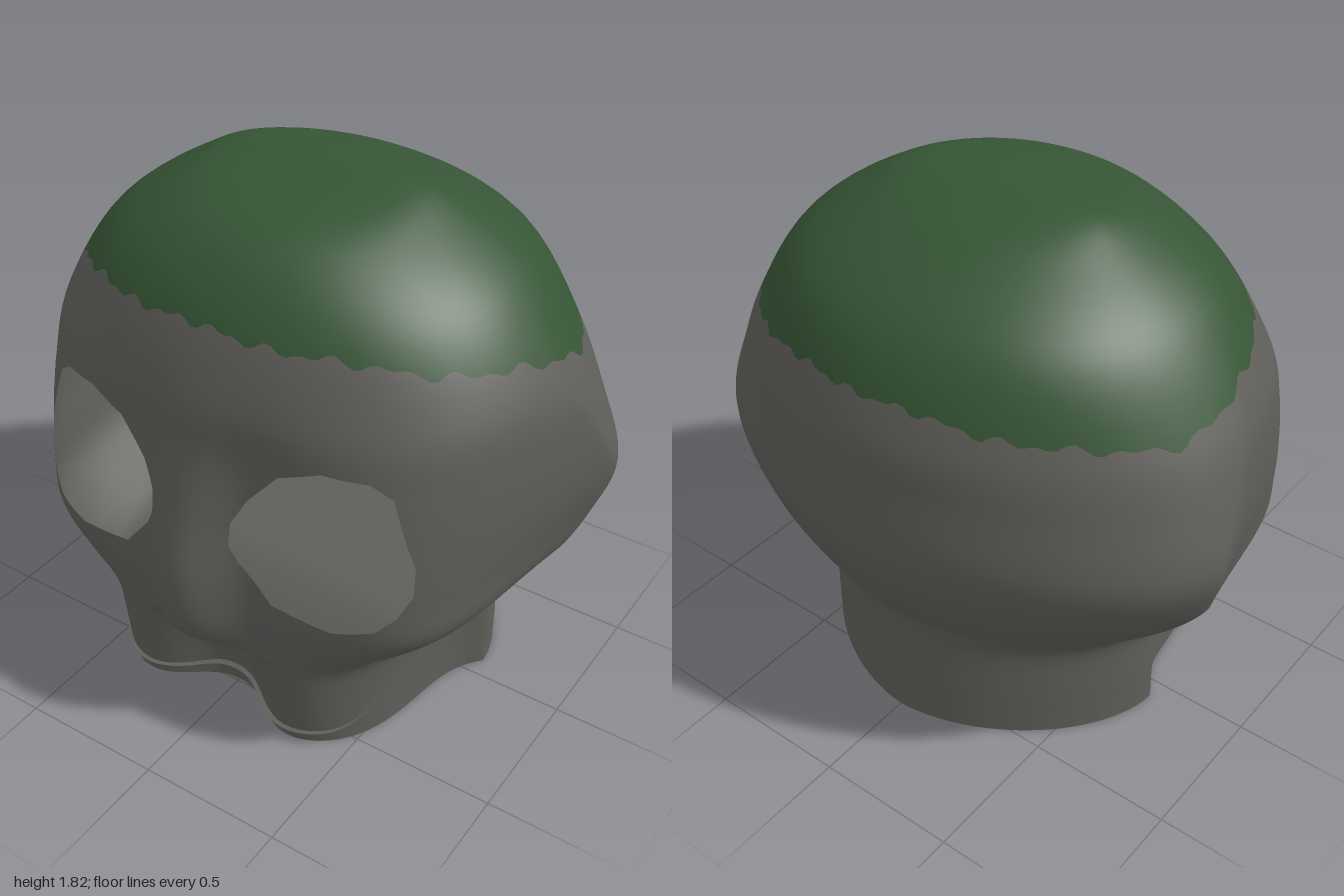
import * as THREE from 'three';

const bone = new THREE.MeshStandardMaterial({ color: 0x5f5e5a, side: THREE.DoubleSide });
bone.name = 'dark grey shell';
const moss = new THREE.MeshStandardMaterial({ color: 0x365535, side: THREE.DoubleSide });
moss.name = 'green cap';

// Horizontal sections from the neck opening to the crown:
// y, half width, z of widest point, front z, back z, front squareness, back squareness, side taper, centre bump
const SECTIONS = [
  0.00, 0.67, -0.07, 0.65, -0.635, 3.4, 1.72, 0.15, -0.16,
  0.17, 0.67, -0.07, 0.675, -0.635, 3.4, 1.72, 0.15, -0.16,
  0.32, 0.67, -0.07, 0.685, -0.635, 3.5, 1.72, 0.13, -0.11,
  0.40, 0.70, -0.08, 0.685, -0.635, 3.7, 1.75, 0.09, 0.05,
  0.47, 0.78, -0.09, 0.685, -0.65, 4.0, 1.8, 0.07, 0.11,
  0.58, 0.885, -0.13, 0.69, -0.72, 4.4, 1.75, 0.08, 0.13,
  0.72, 0.95, -0.21, 0.69, -0.785, 4.4, 1.7, 0.12, 0.125,
  0.89, 0.997, -0.24, 0.68, -0.82, 4.0, 1.68, 0.14, 0.085,
  1.10, 0.962, -0.13, 0.665, -0.80, 3.2, 1.8, 0.10, 0.04,
  1.30, 0.89, -0.02, 0.66, -0.77, 2.4, 1.95, 0.05, 0.01,
  1.56, 0.71, -0.02, 0.56, -0.64, 2.1, 2.05, 0, 0,
  1.73, 0.47, -0.04, 0.38, -0.39, 2.0, 2.0, 0, 0,
  1.80, 0.30, -0.05, 0.07, -0.17, 2.0, 2.0, 0, 0,
  1.815, 0.002, -0.05, -0.048, -0.052, 2.0, 2.0, 0, 0,
];
const FIELDS = 9, COUNT = SECTIONS.length / FIELDS, STEPS = 6, AROUND = 192;

// Eye socket outline, counter-clockwise in x and y
const EYE = [[0.15, 0.83], [0.18, 0.77], [0.29, 0.635], [0.5, 0.61], [0.63, 0.645], [0.685, 0.7], [0.72, 0.78],
  [0.717, 0.88], [0.64, 1.11], [0.575, 1.155], [0.435, 1.165], [0.3, 1.115], [0.2, 1.0], [0.152, 0.91]];

// Closed rings of AROUND points, stacked into a smooth surface
function ringSurface(pos) {
  const index = [];
  for (let p = 0; p < pos.length / 3 - AROUND; p++) {
    const q = (p + 1) % AROUND ? p + 1 : p + 1 - AROUND;
    index.push(p, q, q + AROUND, p, q + AROUND, p + AROUND);
  }
  const g = new THREE.BufferGeometry();
  g.setAttribute('position', new THREE.Float32BufferAttribute(pos, 3));
  g.setIndex(index);
  g.computeVertexNormals();
  return g;
}

function skullSurface() {
  const spline = new THREE.CubicInterpolant(
    Array.from({ length: COUNT }, (_, i) => i), SECTIONS, FIELDS, new Float32Array(FIELDS));
  const pos = [];
  for (let r = 0; r <= (COUNT - 1) * STEPS; r++) {
    const [y, w, zc, zf, zb, nf, nb, taper, bump] = spline.evaluate(r / STEPS);
    const neck = 1 - THREE.MathUtils.smoothstep(y, 0.17, 0.5);
    for (let i = 0; i < AROUND; i++) {
      const a = (i / AROUND) * Math.PI * 2, s = Math.sin(a), c = Math.cos(a);
      const n = c > 0 ? nf : nb;
      const k = Math.pow(Math.abs(s) ** n + Math.abs(c) ** n, -1 / n);
      const f = Math.min(1, Math.max(0, c * k));
      // sides narrow towards the face; the neck steps in sooner
      const x = s * k * w * (1 - taper * (1 - Math.pow(1 - f, 2 + 5 * neck)));
      let z = zc + c * k * (c > 0 ? zf - zc : zc - zb);
      // nose ridge and the hollow under it
      if (c > 0) z += bump * f * Math.exp(-(Math.abs(x / (bump < 0 ? 0.2 : 0.14)) ** 2.4));
      pos.push(x, y, z);
    }
  }
  return ringSurface(pos);
}

// Floor of the cranium: slopes up from the front of the jaw, then runs level to the back
function floorSurface(skull) {
  const P = skull.attributes.position, pos = [], RINGS = 16;
  for (let r = 0; r <= RINGS; r++) {
    const t = Math.max(1 - r / RINGS, 0.001);
    for (let i = 0; i < AROUND; i++) {
      const rim = STEPS * AROUND + i, z = P.getZ(rim) * t;
      pos.push(P.getX(rim) * t, 0.32 - 0.27 * THREE.MathUtils.smoothstep(z, 0.1, 0.6), z);
    }
  }
  return ringSurface(pos);
}

// Split a polygon by a signed function into its positive and negative parts
function split(poly, fn) {
  const plus = [], minus = [];
  poly.forEach((p, i) => {
    const q = poly[(i + 1) % poly.length], d = fn(p), e = fn(q);
    (d >= 0 ? plus : minus).push(p);
    if ((d >= 0) !== (e >= 0)) {
      const m = p.map((v, k) => v + (q[k] - v) * d / (d - e));
      plus.push(m);
      minus.push(m);
    }
  });
  return [plus, minus];
}

// Everything outside a convex opening on the front
function outsideOf(polys, outline) {
  const kept = [];
  for (const poly of polys) {
    let rest = poly;
    if (poly[0][2] < 0.2) { kept.push(poly); continue; }
    outline.forEach(([ax, ay], i) => {
      const [bx, by] = outline[(i + 1) % outline.length];
      const [inside, outside] = split(rest, p => (bx - ax) * (p[1] - ay) - (by - ay) * (p[0] - ax));
      if (outside.length > 2) kept.push(outside);
      rest = inside;
    });
  }
  return kept;
}

// Height above the ragged rim of the green cap
function aboveRim([x, y, z]) {
  const a = Math.atan2(x, z + 0.08), t = z + 0.25;
  const rim = 1.31 + (t > 0 ? 0.225 * t : 0.36 * t * t);
  return y - rim - 0.009 * (Math.sin(a * 25) + Math.sin(a * 43 + 1) + 0.6 * Math.sin(a * 9 + 2));
}

function named(geometry, material, name) {
  const mesh = new THREE.Mesh(geometry, material);
  mesh.name = name;
  return mesh;
}

// Triangles from polygons whose corners hold position and normal
function polygonGeometry(polys) {
  const pos = [], nor = [];
  for (const poly of polys)
    for (let i = 1; i < poly.length - 1; i++)
      for (const v of [poly[0], poly[i], poly[i + 1]]) {
        pos.push(v[0], v[1], v[2]);
        nor.push(v[3], v[4], v[5]);
      }
  const g = new THREE.BufferGeometry();
  g.setAttribute('position', new THREE.Float32BufferAttribute(pos, 3));
  g.setAttribute('normal', new THREE.Float32BufferAttribute(nor, 3));
  g.normalizeNormals();
  return g;
}

export function createModel() {
  const skull = skullSurface(), P = skull.attributes.position, N = skull.attributes.normal, idx = skull.index.array;
  const vertex = i => [P.getX(i), P.getY(i), P.getZ(i), N.getX(i), N.getY(i), N.getZ(i)];
  let polys = [];
  for (let i = 0; i < idx.length; i += 3) polys.push([vertex(idx[i]), vertex(idx[i + 1]), vertex(idx[i + 2])]);

  // open both eye sockets
  polys = outsideOf(polys, EYE);
  polys = outsideOf(polys, EYE.map(([x, y]) => [-x, y]).reverse());

  // separate the cap from the shell
  const cap = [], shell = [];
  for (const poly of polys) {
    const [up, down] = split(poly, aboveRim);
    if (up.length > 2) cap.push(up);
    if (down.length > 2) shell.push(down);
  }

  const group = new THREE.Group();
  group.name = 'skull mask';
  group.add(
    named(polygonGeometry(shell), bone, 'skullShell'),
    named(polygonGeometry(cap), moss, 'greenCap'),
    named(floorSurface(skull), bone, 'craniumFloor'),
  );
  return group;
}
